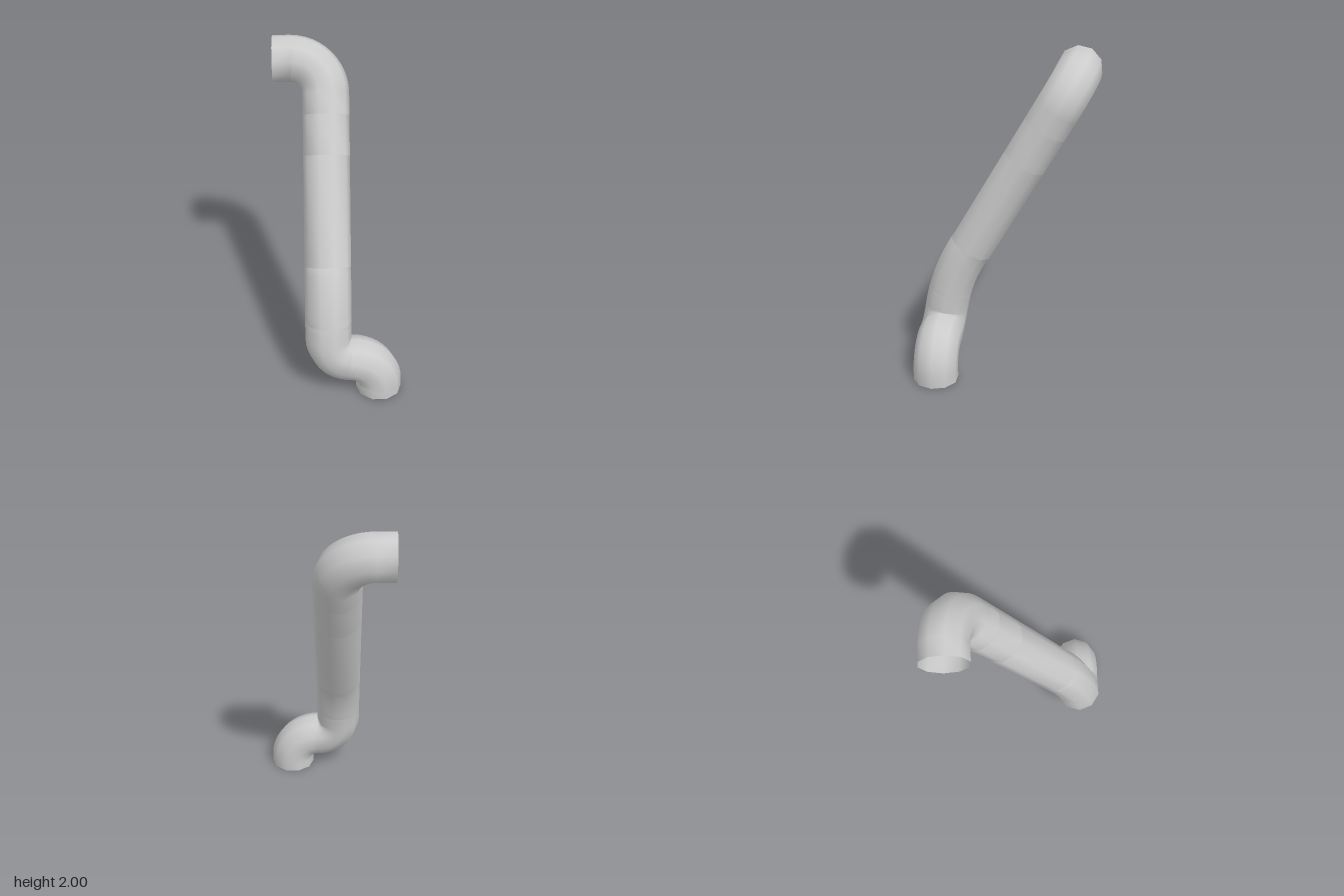
import * as THREE from 'three';

const RADIUS = 0.14, SIDES = 10;
const TILT = Math.PI / 6, QUARTER = Math.PI / 2;

const material = new THREE.MeshStandardMaterial({ color: 0xcccccc, side: THREE.DoubleSide });

// One cross-section: centre, turn towards -x (alpha) and backward lean (phi)
function section(x, y, z, alpha, phi) {
  const up = new THREE.Vector3(0, Math.cos(phi), -Math.sin(phi));
  const e1 = new THREE.Vector3(Math.cos(alpha), 0, 0).addScaledVector(up, Math.sin(alpha));
  const e2 = new THREE.Vector3(0, -Math.sin(phi), -Math.cos(phi));
  return { centre: new THREE.Vector3(x, y, z), e1, e2 };
}

// Evenly spaced sections, f(t) for t in 0..1
const steps = (n, f) => Array.from({ length: n + 1 }, (_, i) => f(i / n));

// Open ten-sided smooth tube through the sections
function tube(name, sections) {
  const pos = [], index = [];
  sections.forEach(({ centre, e1, e2 }, i) => {
    for (let j = 0; j < SIDES; j++) {
      const b = (j / SIDES) * Math.PI * 2;
      const p = centre.clone()
        .addScaledVector(e1, RADIUS * Math.cos(b))
        .addScaledVector(e2, RADIUS * Math.sin(b));
      pos.push(p.x, p.y, p.z);
      if (i === 0) continue;
      const k = (j + 1) % SIDES, lo = (i - 1) * SIDES, hi = i * SIDES;
      index.push(lo + j, lo + k, hi + j, lo + k, hi + k, hi + j);
    }
  });
  const geo = new THREE.BufferGeometry();
  geo.setAttribute('position', new THREE.Float32BufferAttribute(pos, 3));
  geo.setIndex(index);
  geo.computeVertexNormals();
  const mesh = new THREE.Mesh(geo, material);
  mesh.name = name;
  return mesh;
}

// Gentle backward bend of the lower pipe: height <-> lean
const BEND_R = 1.13, BEND_Y = 0.18, BASE_Z = 0.402, PIPE_X = -0.07;
const leanAt = (y) => Math.asin(Math.max(0, (y - BEND_Y) / BEND_R));
const bendZ = (phi) => BASE_Z - BEND_R * (1 - Math.cos(phi));
const bendSection = (phi) => section(PIPE_X, BEND_Y + BEND_R * Math.sin(phi), bendZ(phi), 0, phi);

// Straight leaning run, ending at the mouth centre height of the upper elbow
const TOP_Y = 1.86, TOP_Z = -0.398;
const leanSection = (y) =>
  section(PIPE_X, y, TOP_Z + Math.tan(TILT) * (TOP_Y - y), 0, TILT);

export function createModel() {
  const group = new THREE.Group();
  group.name = 'bentPipe';

  // Lower S: elbow towards -x, then a tight elbow back upward
  const footR = 0.17, footY = 0.055, footX = 0.07;
  const foot = steps(10, (t) => {
    const a = t * QUARTER;
    return section(footX + footR * Math.cos(a), footY + footR * Math.sin(a), BASE_Z, a, 0);
  });
  const tight = steps(10, (t) => {
    const a = (1 - t) * QUARTER;
    const y = footY + footR + RADIUS * (1 - Math.sin(a));
    const phi = leanAt(y);
    return section(footX - RADIUS * Math.cos(a), y, bendZ(phi), a, phi);
  });
  const joinLean = leanAt(footY + footR + RADIUS);
  const rise = steps(3, (t) => bendSection(THREE.MathUtils.lerp(joinLean, TILT / 2, t)));
  group.add(tube('lowerElbow', [
    section(footX + footR, 0, BASE_Z, 0, 0), ...foot, ...tight.slice(1), ...rise.slice(1),
  ]));

  // Bend that completes the lean
  group.add(tube('lowerBend', [
    ...steps(6, (t) => bendSection(TILT / 2 * (1 + t))), leanSection(0.78),
  ]));

  // Straight pipe and connecting collar
  group.add(tube('straightPipe', [leanSection(0.78), leanSection(1.355)]));
  group.add(tube('collar', [leanSection(1.355), leanSection(1.565)]));

  // Upper elbow turning to -x within the leaning plane
  const topR = 0.21, mouthX = -0.385;
  const upper = steps(12, (t) => {
    const a = t * QUARTER, drop = topR * (1 - Math.sin(a));
    return section(PIPE_X - topR * (1 - Math.cos(a)),
      TOP_Y - drop * Math.cos(TILT), TOP_Z + drop * Math.sin(TILT), a, TILT);
  });
  group.add(tube('upperElbow', [
    leanSection(1.565), ...upper, section(mouthX, TOP_Y, TOP_Z, QUARTER, TILT),
  ]));
  return group;
}
